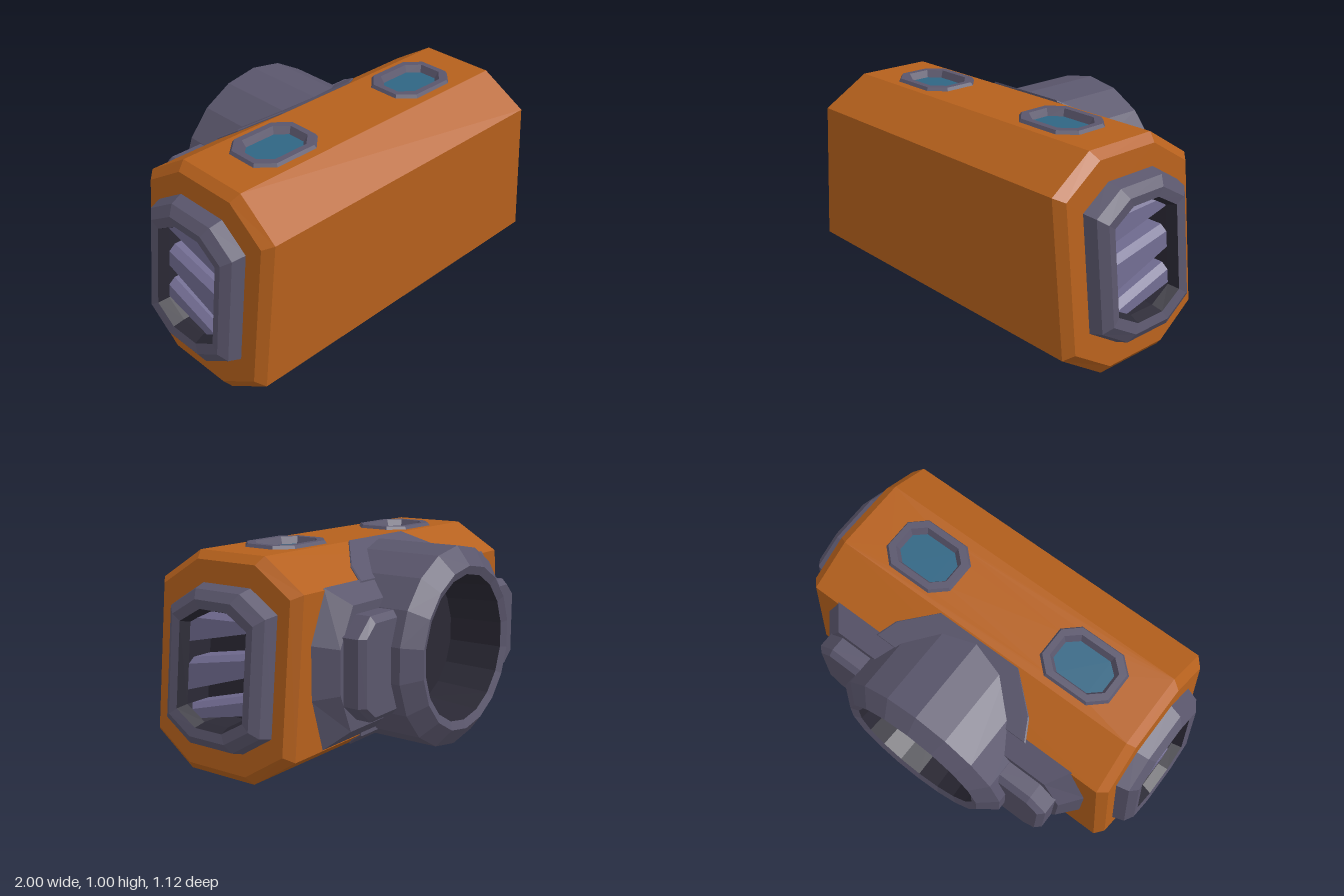
import * as THREE from 'three';

const mat = (color, extra = {}) =>
  new THREE.MeshStandardMaterial({ color, flatShading: true, ...extra });
const ORANGE = mat(0xb5601c), METAL = mat(0x5a566c), DARK = mat(0x2b2935);
const SLAT = mat(0x706b90), GLASS = mat(0x2f6583);

// Chamfered rectangle, counter-clockwise in (u, v)
const oct = (u0, u1, v0, v1, cu, cv) => [
  [u0 + cu, v0], [u1 - cu, v0], [u1, v0 + cv], [u1, v1 - cv],
  [u1 - cu, v1], [u0 + cu, v1], [u0, v1 - cv], [u0, v0 + cv],
];

// Skin between cross-sections; optional end cap; skip(ring, edge) leaves a gap
function loft(rings, cap = true, skip = () => false) {
  const n = rings[0].length, index = [];
  for (let r = 0; r < rings.length - 1; r++) {
    for (let i = 0; i < n; i++) {
      if (skip(r, i)) continue;
      const a = r * n + i, b = r * n + (i + 1) % n;
      index.push(a, b, b + n, a, b + n, a + n);
    }
  }
  const last = (rings.length - 1) * n;
  if (cap) for (let i = 1; i < n - 1; i++) index.push(last, last + i, last + i + 1);
  const g = new THREE.BufferGeometry();
  g.setAttribute('position', new THREE.Float32BufferAttribute(rings.flat(2), 3));
  g.setIndex(index);
  const flat = g.toNonIndexed();
  flat.computeVertexNormals();
  return flat;
}

// Mirror cross-sections across an axis, keeping the faces outward
const mirror = (rings, axis, centre = 0) => rings.map(ring =>
  ring.map(p => p.map((c, k) => (k === axis ? 2 * centre - c : c))).reverse());

export function createModel() {
  const model = new THREE.Group();
  const add = (name, geometry, material, parent = model) => {
    const m = new THREE.Mesh(geometry, material);
    m.name = name;
    parent.add(m);
    return m;
  };

  // The end faces lean inward towards the top
  const endX = (v, h) => 0.934 - 0.105 * v + h;
  const onEnd = (pts, h) => pts.map(([u, v]) => [endX(v, h), v, -u]);
  const ventOct = d =>
    oct(-0.435 + d, 0.15 - d, 0.135 + d, 0.85 - d, 0.155 - 0.4 * d, 0.095 - 0.3 * d);

  // Main housing, open at the vents and along the top face
  const half = [
    onEnd(oct(-0.56, 0.25, 0, 0.98, 0.22, 0.14), -0.039),
    onEnd(oct(-0.52, 0.21, 0.04, 0.945, 0.2, 0.125), 0),
    onEnd(ventOct(0.05), 0),
  ];
  const other = half.map(r => r.map(([x, y, z]) => [-x, y, z])).reverse();
  add('housing', loft([...other, ...half], false, (r, i) => r === 2 && i === 4), ORANGE);

  // Top face with two window openings
  const w = endX(0.98, -0.039);
  const top = new THREE.Shape([[-w, -0.34], [w, -0.34], [w, 0.03], [-w, 0.03]]
    .map(p => new THREE.Vector2(...p)));
  const windowOct = (x, d) =>
    oct(x - 0.19 + d, x + 0.19 - d, -0.3 + d, -d, 0.075 - 0.4 * d, 0.07 - 0.4 * d);
  for (const x of [-0.44, 0.44]) {
    top.holes.push(new THREE.Path(windowOct(x, 0.02).map(p => new THREE.Vector2(...p))));
  }
  add('housingTop', new THREE.ShapeGeometry(top).rotateX(-Math.PI / 2).translate(0, 0.98, 0), ORANGE);

  // Windows: raised frame around sunken glass
  for (const x of [-0.44, 0.44]) {
    const g = new THREE.Group();
    g.name = 'window';
    model.add(g);
    const ring = (d, y) => windowOct(x, d).map(([u, v]) => [u, y, -v]);
    add('windowFrame', loft([ring(0, 0.975), ring(0.012, 0.995), ring(0.042, 0.995),
      ring(0.058, 0.96)], false), METAL, g);
    add('windowGlass', loft([ring(0.055, 0.955), ring(0.055, 0.962)]), GLASS, g);
  }

  for (const s of [1, -1]) {
    const side = s > 0 ? 'left' : 'right';
    const place = rings => (s > 0 ? rings : mirror(rings, 0));

    // Side vent: rim, recess and sloping slats
    const vent = new THREE.Group();
    vent.name = side + 'Vent';
    model.add(vent);
    const ring = (d, h) => onEnd(ventOct(d), h);
    add('ventRim', loft(place([ring(0, -0.01), ring(0.02, 0.058), ring(0.06, 0.087),
      ring(0.1, 0.08)]), false), METAL, vent);
    add('ventRecess', loft(place([ring(0.1, 0.08), ring(0.115, 0.03), ring(0.115, -0.1)])),
      DARK, vent);
    const slats = [[0.59, 0.72, 0.67, 0.735], [0.375, 0.515, 0.485, 0.58], [0.245, 0.31, 0.32, 0.405]];
    for (const [fl, fh, bl, bh] of slats) {
      const slat = (h, drop) => onEnd([[-0.32, fl], [0.04, bl], [0.04, bh - drop], [-0.32, fh - drop]], h);
      add('ventSlat', loft(place([slat(-0.1, 0), slat(0, 0), slat(0.03, 0.025)])), SLAT, vent);
    }

    // Rear plate beside the barrel
    const plate = [
      [[0.7, 0.14], [0.28, 0.14], [0.38, 0.38], [0.38, 0.62],
        [0.28, 0.85], [0.67, 0.85], [0.77, 0.62], [0.77, 0.38]].map(([x, y]) => [x, y, -0.245]),
      [[0.62, 0.225], [0.28, 0.225], [0.38, 0.38], [0.38, 0.62],
        [0.28, 0.775], [0.6, 0.775], [0.69, 0.6], [0.69, 0.4]].map(([x, y]) => [x, y, -0.345]),
    ];
    add(side + 'RearPlate', loft(place(plate)), METAL);

    // Bevelled lug on the plate
    const lug = (d, z) => [[0.58, 0.27 + d], [0.38, 0.27 + d], [0.38, 0.735 - d],
      [0.58, 0.735 - d], [0.67 - d, 0.65], [0.67 - d, 0.35]].map(([x, y]) => [x, y, z]);
    add(side + 'RearLug', loft(place([lug(0, -0.34), lug(0, -0.42), lug(0.028, -0.447)])), METAL);
  }

  // Collars where the barrel meets the sloping housing edges
  const collarRing = (d, lift) => [[-0.22, 0.04], [0.22, 0.04], [0.38, 0.17],
    [0.43, 0.26], [-0.43, 0.26], [-0.38, 0.17]]
    .map(([u, v]) => [u * (1 - d), 0.98 - (v - 0.03) * 0.636 + lift, -v]);
  const collar = [collarRing(0, -0.02), collarRing(0, 0.006), collarRing(0.02, 0.012)];
  add('upperCollar', loft(collar), METAL);
  add('lowerCollar', loft(mirror(collar, 1, 0.49)), METAL);

  // Barrel with bevelled rim and dark bore
  const lathe = pts => new THREE.LatheGeometry(pts.map(p => new THREE.Vector2(...p)), 18)
    .rotateX(-Math.PI / 2).translate(0, 0.502, 0);
  add('barrel', lathe([[0.472, 0.02], [0.472, 0.492], [0.385, 0.56], [0.345, 0.545]]),
    mat(0x5a566c, { side: THREE.DoubleSide }));
  add('barrelBore', lathe([[0.345, 0.545], [0.325, 0.275], [0, 0.275]]),
    mat(0x2b2935, { side: THREE.DoubleSide }));

  return model;
}
